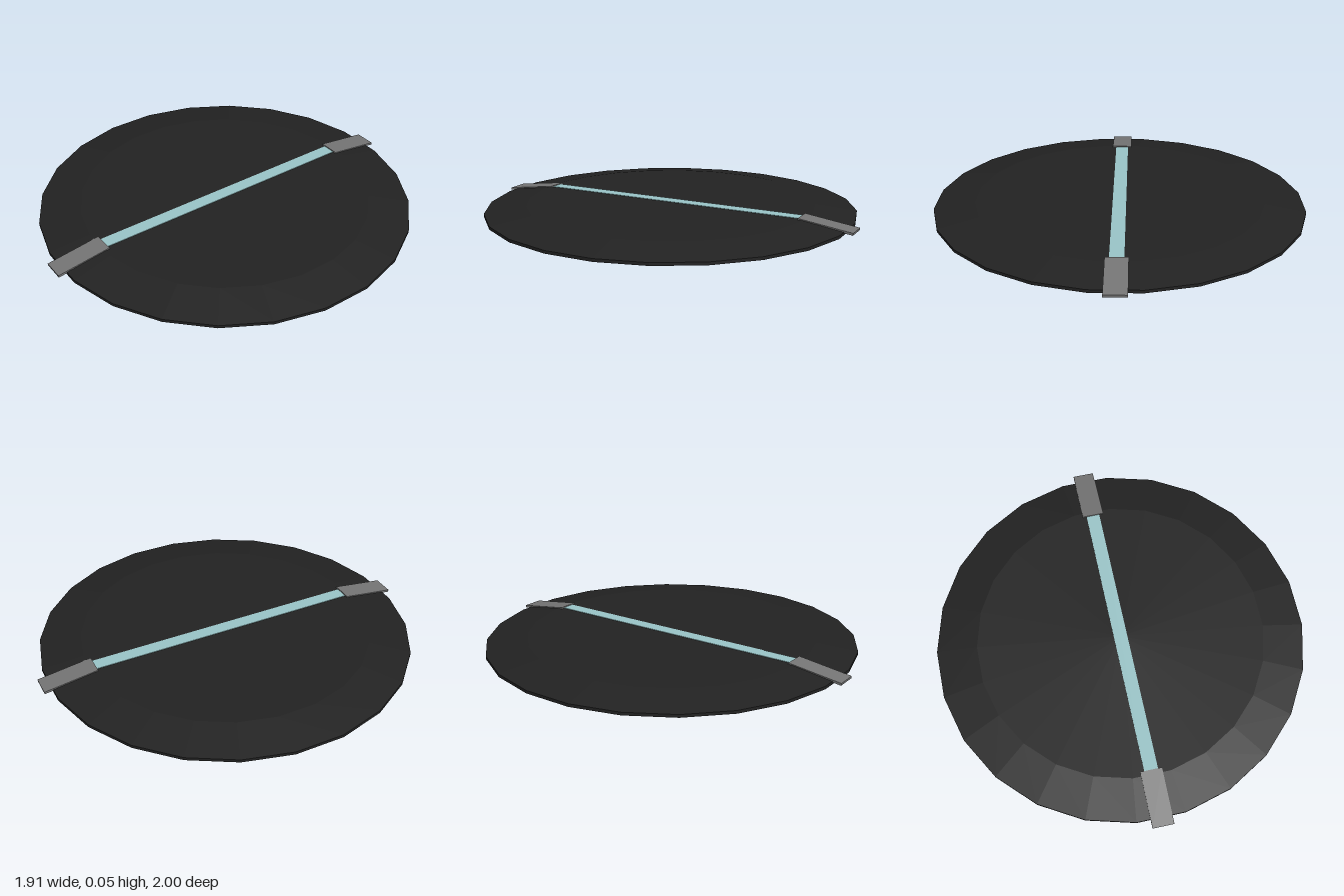
import * as THREE from 'three';

const SIDES = 24;

function material(color) {
  return new THREE.MeshStandardMaterial({ color, flatShading: true });
}

export function createModel() {
  const model = new THREE.Group();
  model.name = 'stripedDisc';

  const add = (name, geometry, mat) => {
    const mesh = new THREE.Mesh(geometry, mat);
    mesh.name = name;
    model.add(mesh);
    return mesh;
  };

  // Faceted disc: flat base, short rim, shallow slope, flat top
  const profile = [[0, 0], [0.963, 0], [0.963, 0.015], [0.75, 0.046], [0, 0.046]]
    .map(([r, y]) => new THREE.Vector2(r, y));
  add('disc', new THREE.LatheGeometry(profile, SIDES, Math.PI / SIDES), material(0x222222));

  // Pale strip across the top
  const strip = add('centreStrip', new THREE.BoxGeometry(0.07, 0.012, 1.47), material(0x9ac5c8));
  strip.position.y = 0.0425;

  // Sloping clips gripping the rim at both ends of the strip
  const clipMaterial = material(0x757575);
  for (const [name, side] of [['frontClip', 1], ['backClip', -1]]) {
    const clip = add(name, new THREE.BoxGeometry(0.11, 0.012, 0.281), clipMaterial);
    clip.position.set(0, 0.0285, side * 0.86);
    clip.rotation.x = side * 0.135;
  }

  return model;
}
